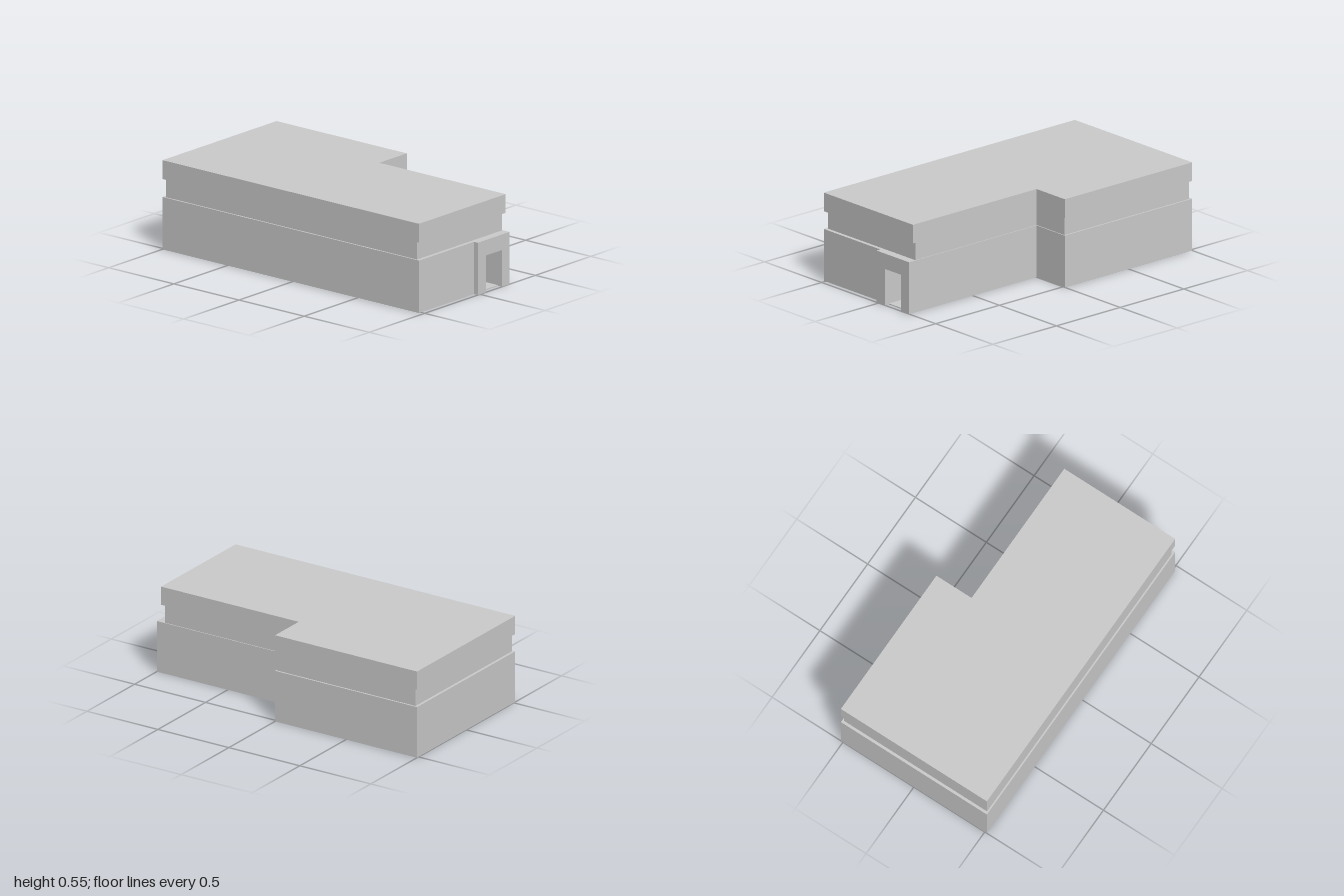
import * as THREE from 'three';

const material = new THREE.MeshStandardMaterial({ color: 0xcccccc, flatShading: true });

// Extrude a plan outline of [x, z] points upward from y0 to y1
function slab(name, plan, y0, y1) {
  const shape = new THREE.Shape(plan.map(([x, z]) => new THREE.Vector2(x, -z)));
  const geometry = new THREE.ExtrudeGeometry(shape, { depth: y1 - y0, bevelEnabled: false });
  geometry.rotateX(-Math.PI / 2).translate(0, y0, 0);
  const mesh = new THREE.Mesh(geometry, material);
  mesh.name = name;
  return mesh;
}

const rect = (x0, x1, z0, z1) => [[x0, z0], [x0, z1], [x1, z1], [x1, z0]];

// L-shaped plan: wide rear wing, narrower front wing
const lPlan = (left, right, wingRight, back, step, front) => [
  [left, back], [left, front], [wingRight, front], [wingRight, step], [right, step], [right, back],
];

export function createModel() {
  const group = new THREE.Group();
  group.name = 'building';

  const W = 0.515, wing = 0.267, front = 0.97, porchFront = 1;
  const door = { left: 0.055, right: 0.197, top: 0.225, inner: 0.67 };
  const y1 = 0.32, y2 = 0.43, y3 = 0.545;

  // Ground storey with the entrance bay and its deep doorway in the outline
  group.add(slab('groundStorey', [
    [-W, -1], [-W, front], [-0.02, front], [-0.02, porchFront],
    [door.left, porchFront], [door.left, door.inner], [door.right, door.inner], [door.right, porchFront],
    [wing, porchFront], [wing, 0], [W, 0], [W, -1],
  ], 0, y1));

  // Fill above the doorway and the passage floor
  group.add(slab('doorLintel', rect(door.left, door.right, door.inner, porchFront), door.top, y1));
  group.add(slab('passageFloor', rect(door.left, door.right, door.inner, front), 0, 0.005));

  // Recessed window band
  group.add(slab('windowBand', lPlan(-0.505, 0.505, 0.262, -0.983, -0.006, 0.947), y1, y2));

  // Overhanging roof block
  group.add(slab('roofBlock', lPlan(-W, W, wing, -1, 0, front), y2, y3));

  return group;
}
